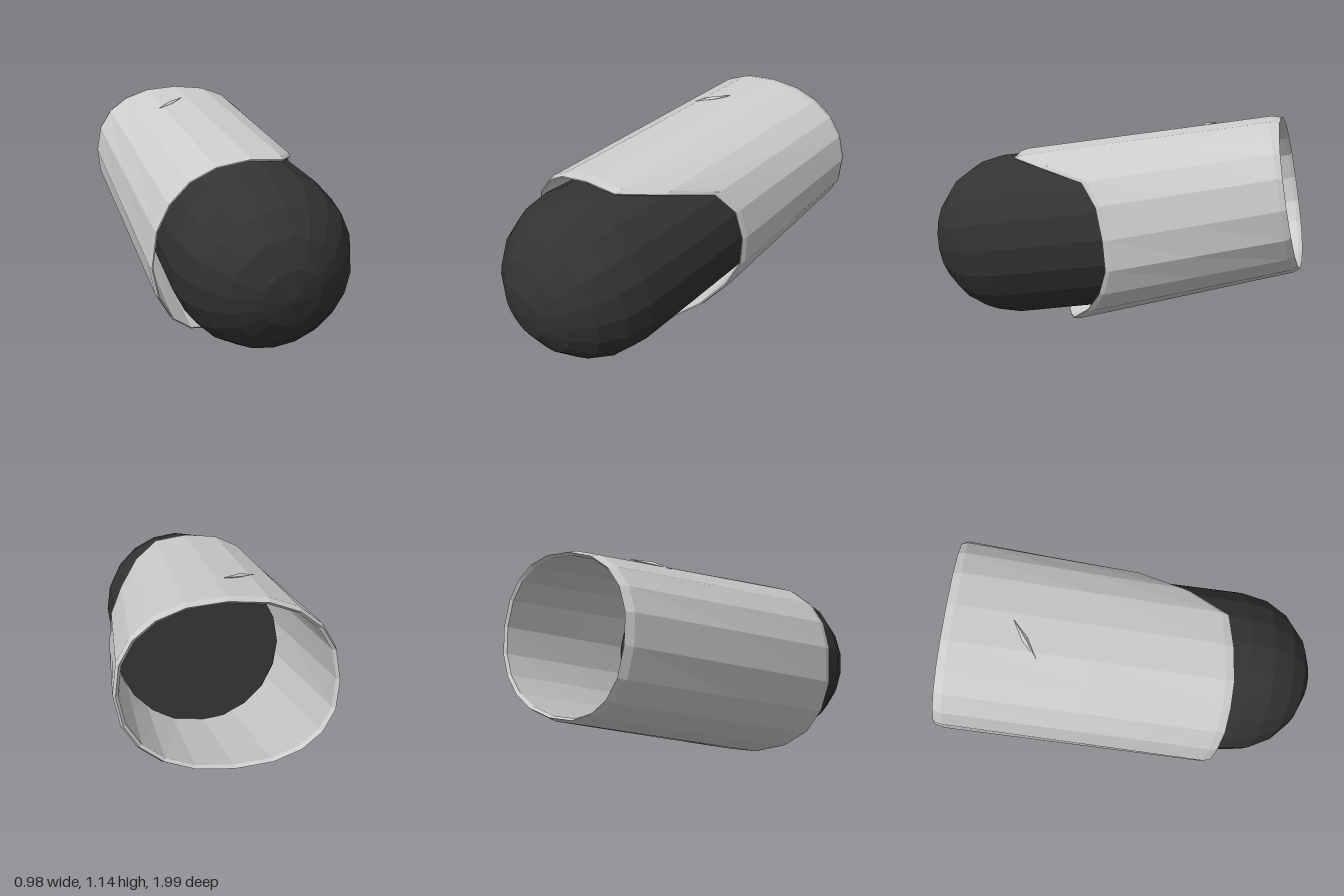
import * as THREE from 'three';

const SIDES = 20;

// Front hem of the sleeve: z at each angle, from +x counter-clockwise over the top
const HEM = [-0.07, -0.03, 0.06, 0.31, 0.51, 0.54, 0.555, 0.55, 0.54, 0.52,
  0.5, 0.48, 0.45, 0.39, 0.32, 0.25, 0.18, 0.06, -0.03, -0.08];

const material = (color) =>
  new THREE.MeshStandardMaterial({ color, flatShading: true, side: THREE.DoubleSide });

// Point on an oval section; a power above 2 squares its corners, and the
// lower half can lean sideways
function oval(angle, halfWidth, halfHeight, centreY, power, lean) {
  const c = Math.cos(angle), s = Math.sin(angle), p = 2 / power;
  return [
    Math.sign(c) * Math.abs(c) ** p * halfWidth + lean * Math.max(0, -s),
    centreY + Math.sign(s) * Math.abs(s) ** p * halfHeight,
  ];
}

// Sleeve point: straight line along each angle from the hem (t = 0) to the rear rim (t = 1)
function sleevePoint(i, t, inset) {
  const angle = (i / SIDES) * Math.PI * 2;
  const frontPower = i < SIDES / 2 ? 2.35 : 2.15;
  const [rx, ry] = oval(angle, 0.492 - inset, 0.382 - inset, 0.768, 2.3, -0.015);
  const [fx, fy] = oval(angle, 0.482 - inset, 0.495 - inset, 0.474, frontPower, 0.035);
  const rearZ = -0.925 + (ry - 0.768) * 0.187;
  const z = THREE.MathUtils.lerp(HEM[i], rearZ, t);
  const k = (z - 0.3) / (rearZ - 0.3);
  return [fx + (rx - fx) * k, fy + (ry - fy) * k, z];
}

// Closed thin shell: outside from hem to rim, then back along the inside
function sleeveGeometry() {
  const profile = [[0, 0.008], [0.03, 0], [0.5, 0], [0.97, 0], [1, 0.012],
    [0.985, 0.024], [0.5, 0.018], [0, 0.014], [0, 0.008]];
  const positions = [], index = [];
  for (const [t, inset] of profile) {
    for (let i = 0; i < SIDES; i++) positions.push(...sleevePoint(i, t, inset));
  }
  for (let r = 0; r < profile.length - 1; r++) {
    for (let i = 0; i < SIDES; i++) {
      const j = (i + 1) % SIDES;
      const a = r * SIDES + i, b = r * SIDES + j;
      const c = a + SIDES, d = b + SIDES;
      index.push(a, c, b, b, c, d);
    }
  }
  const geometry = new THREE.BufferGeometry();
  geometry.setAttribute('position', new THREE.Float32BufferAttribute(positions, 3));
  geometry.setIndex(index);
  geometry.computeVertexNormals();
  return geometry;
}

// Domed plug with a flat back, turned around +y with the dome at the top
function plugGeometry() {
  const radius = 0.442, length = 0.79, rings = 5;
  const points = [new THREE.Vector2(0, -length), new THREE.Vector2(0.42, -length)];
  for (let k = 0; k <= rings; k++) {
    const a = (k / rings) * Math.PI / 2;
    points.push(new THREE.Vector2(k === rings ? 0 : radius * Math.cos(a), radius * Math.sin(a)));
  }
  return new THREE.LatheGeometry(points, SIDES);
}

export function createModel() {
  const model = new THREE.Group();
  model.name = 'sleevedCapsule';

  const sleeve = new THREE.Mesh(sleeveGeometry(), material(0xcccccc));
  sleeve.name = 'sleeve';
  model.add(sleeve);

  // The plug leans so that its back end sits higher
  const plug = new THREE.Mesh(plugGeometry(), material(0x333333));
  plug.name = 'domedPlug';
  plug.position.set(0.034, 0.463, 0.564);
  plug.rotation.x = Math.PI / 2 + 0.16;
  model.add(plug);

  // Small crease on top of the sleeve
  const crease = new THREE.Mesh(new THREE.OctahedronGeometry(1), material(0xcccccc));
  crease.name = 'sleeveCrease';
  crease.scale.set(0.11, 0.012, 0.015);
  crease.position.set(-0.12, 1.08, -0.47);
  crease.rotation.set(0.16, 0.65, 0.12);
  model.add(crease);

  return model;
}
